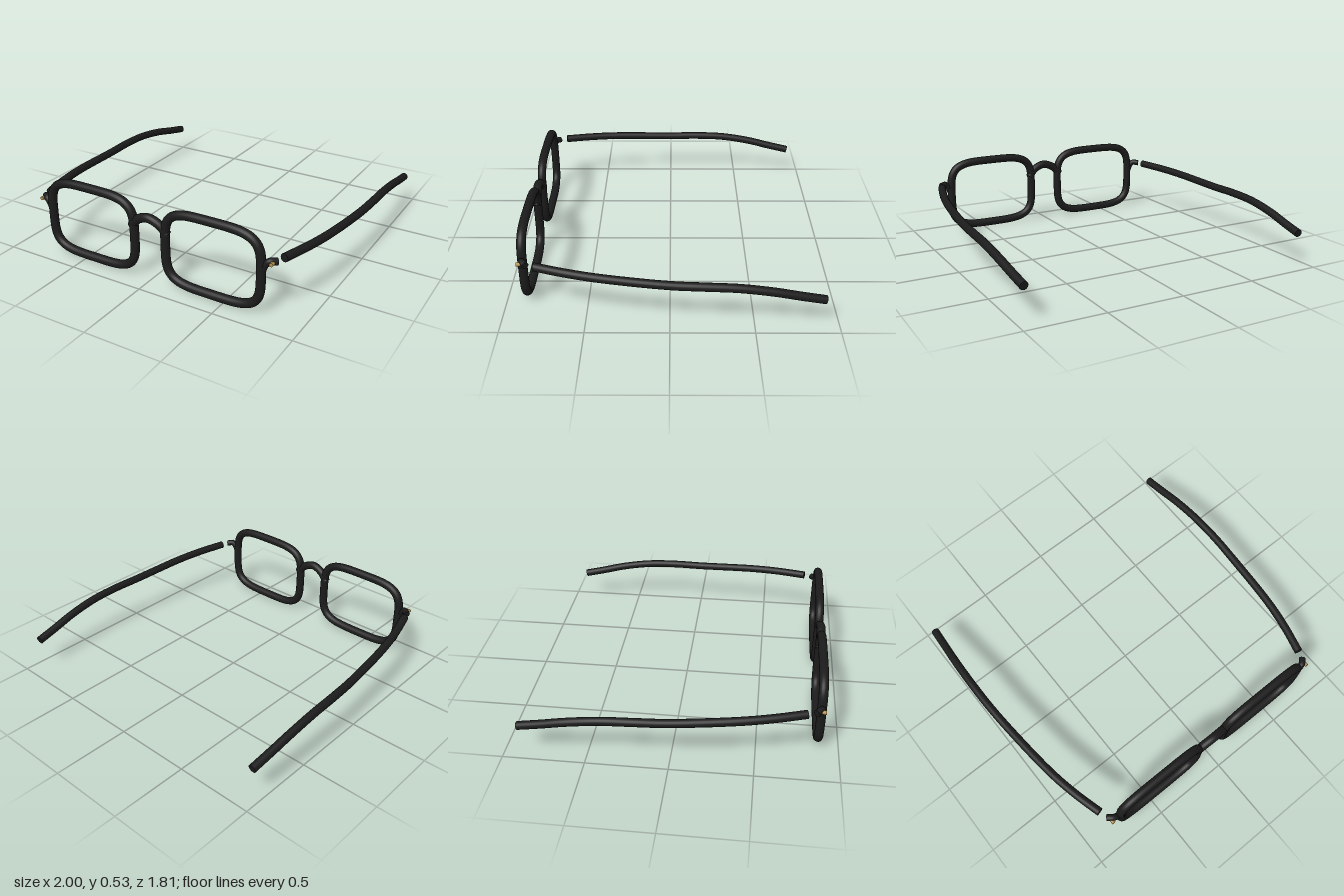
import * as THREE from 'three';

const frameBlack = new THREE.MeshStandardMaterial({ color: 0x1b1b1b });
frameBlack.name = 'frameBlack';
const screwBrass = new THREE.MeshStandardMaterial({ color: 0xb5924c });
screwBrass.name = 'screwBrass';

const vec = (p) => new THREE.Vector3(...p);

// Round rod along a smooth path, with flat end caps
function rod(name, points, radius, segments) {
  const group = new THREE.Group();
  group.name = name;
  const curve = new THREE.CatmullRomCurve3(points.map(vec));
  group.add(new THREE.Mesh(new THREE.TubeGeometry(curve, segments, radius, 20), frameBlack));
  for (const t of [0, 1]) {
    const cap = new THREE.Mesh(new THREE.CircleGeometry(radius, 20), frameBlack);
    const outward = curve.getTangent(t).multiplyScalar(t ? 1 : -1);
    cap.quaternion.setFromUnitVectors(new THREE.Vector3(0, 0, 1), outward);
    cap.position.copy(curve.getPoint(t));
    cap.name = name + 'End';
    group.add(cap);
  }
  return group;
}

// Rounded-square rim: a tube around a superellipse
function rim(side) {
  const points = [];
  const bulge = (v) => Math.sign(v) * Math.sqrt(Math.abs(v));
  for (let i = 0; i < 64; i++) {
    const a = ((i + 0.5) / 64) * Math.PI * 2;
    points.push(new THREE.Vector3(
      side * 0.424 + 0.314 * bulge(Math.cos(a)),
      0.263 + 0.235 * bulge(Math.sin(a)),
      0.872));
  }
  const curve = new THREE.CatmullRomCurve3(points, true);
  const mesh = new THREE.Mesh(new THREE.TubeGeometry(curve, 128, 0.028, 20, true), frameBlack);
  mesh.name = side > 0 ? 'leftRim' : 'rightRim';
  return mesh;
}

export function createModel() {
  const model = new THREE.Group();
  model.name = 'glasses';

  // Arched nose bridge
  model.add(rod('bridge', [
    [-0.125, 0.335, 0.87], [-0.075, 0.389, 0.876], [0, 0.416, 0.88],
    [0.075, 0.389, 0.876], [0.125, 0.335, 0.87],
  ], 0.028, 40));

  for (const side of [1, -1]) {
    const label = side > 0 ? 'left' : 'right';
    const mirror = (points) => points.map(([x, y, z]) => [side * x, y, z]);

    model.add(rim(side));

    // Short end piece sweeping out from the rim
    model.add(rod(label + 'EndPiece', mirror([
      [0.745, 0.285, 0.872], [0.762, 0.328, 0.871],
      [0.787, 0.352, 0.866], [0.822, 0.349, 0.838],
    ]), 0.021, 24));

    // Small screw on the front of the end piece
    const screw = new THREE.Mesh(new THREE.CylinderGeometry(0.012, 0.012, 0.04, 16), screwBrass);
    screw.rotation.x = Math.PI / 2;
    screw.position.set(side * 0.808, 0.35, 0.874);
    screw.name = label + 'Screw';
    model.add(screw);

    // Temple arm, bowed outward and dropping behind the ear
    model.add(rod(label + 'Temple', mirror([
      [0.834, 0.35, 0.787], [0.884, 0.343, 0.6], [0.922, 0.334, 0.4],
      [0.961, 0.314, 0], [0.972, 0.312, -0.2], [0.973, 0.303, -0.4],
      [0.967, 0.273, -0.6], [0.957, 0.236, -0.76], [0.948, 0.206, -0.9],
    ]), 0.026, 64));
  }
  return model;
}
